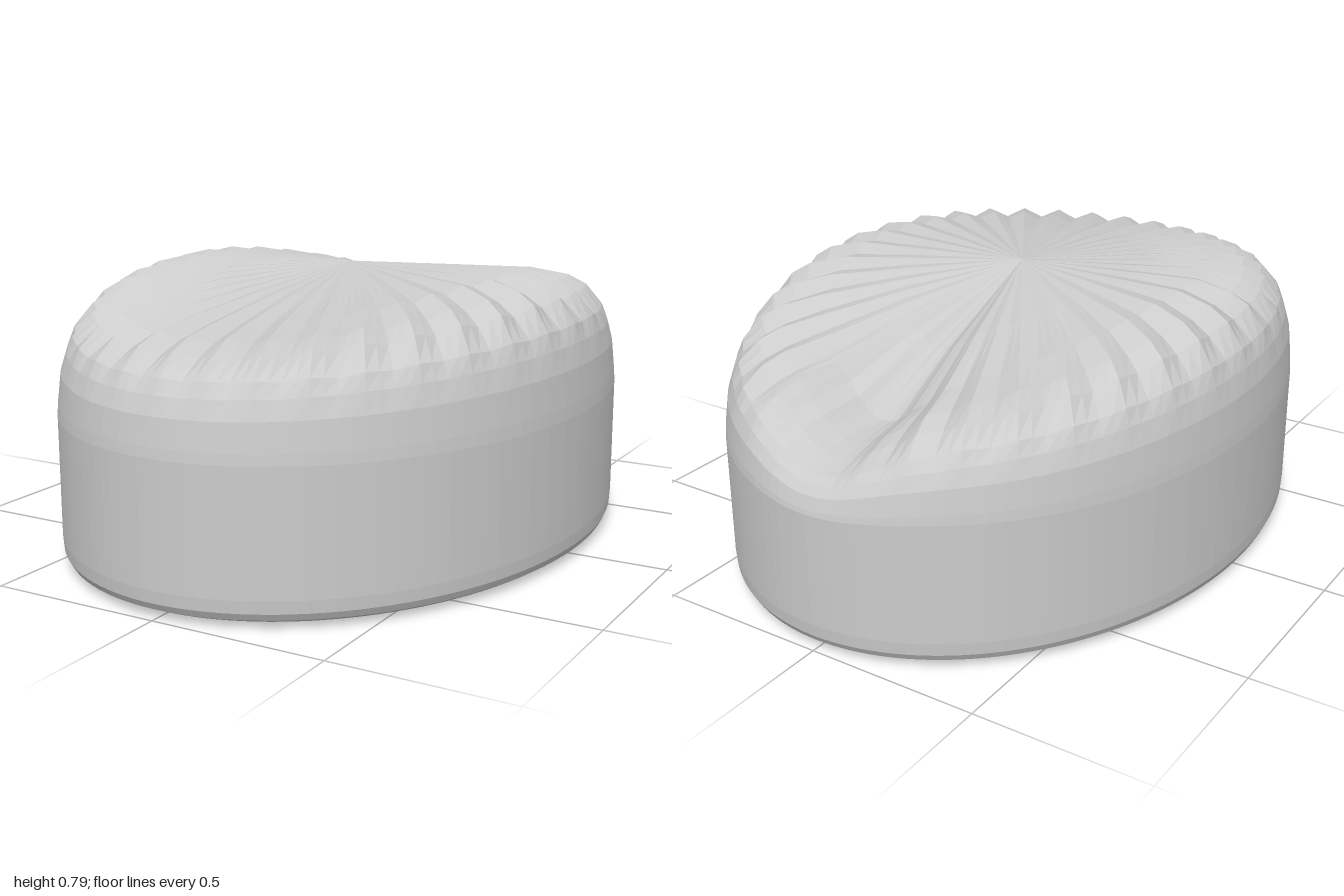
import * as THREE from 'three';

const SEGMENTS = 144;
const FLUTES = 36;
const HALF_WIDTH = 0.75;

// Underside and wall: [radius, height]
const lower = [[0, 0], [0.9, 0.005], [0.96, 0.013], [0.985, 0.025], [0.997, 0.045], [1, 0.08], [1, 0.24]];
// Rounded shoulder and crown: [radius, share of the rise, flute strength]
const upper = [
  [1, 0, 0], [0.997, 0.1, 0], [0.985, 0.36, 0], [0.965, 0.53, 0.1], [0.94, 0.66, 0.35],
  [0.87, 0.83, 0.9], [0.8, 0.92, 1], [0.67, 1, 0.7],
];

// Dip in the crown at the middle of the back
const notch = (a) => Math.exp(-(((a - 1.5 * Math.PI) / 0.28) ** 2));

// Height of the crown: high at the sides, lower at the front, lowest at the back
function crownHeight(a) {
  const s = Math.sin(a);
  return 0.78 - (s > 0 ? 0.075 : 0.13) * s * s - 0.12 * notch(a);
}

function createPuckGeometry() {
  const rings = [
    ...lower.map(([r, y]) => () => [r, y]),
    ...upper.map(([r, f, flute]) => (a) => {
      const wave = Math.cos(FLUTES * a) * flute * (1 - 0.8 * notch(a));
      const base = 0.42 - 0.02 * notch(a);
      return [r + 0.012 * wave, base + (crownHeight(a) - base) * f + 0.011 * wave];
    }),
    // Shallow fan rising to the centre
    (a) => [0.42, THREE.MathUtils.lerp(0.786, crownHeight(a), 0.55) + 0.003 * Math.cos(FLUTES * a)],
    () => [0, 0.786],
  ];

  const positions = [];
  const index = [];
  rings.forEach((ring) => {
    for (let j = 0; j < SEGMENTS; j++) {
      const a = (j / SEGMENTS) * Math.PI * 2;
      const [r, y] = ring(a);
      positions.push(HALF_WIDTH * r * Math.cos(a), y, r * Math.sin(a));
    }
  });
  for (let i = 0; i < rings.length - 1; i++) {
    for (let j = 0; j < SEGMENTS; j++) {
      const k = (j + 1) % SEGMENTS;
      const a = i * SEGMENTS + j, b = i * SEGMENTS + k;
      const c = a + SEGMENTS, d = b + SEGMENTS;
      if (i > 0) index.push(a, c, b);
      if (i < rings.length - 2) index.push(b, c, d);
      else continue;
    }
  }

  const geometry = new THREE.BufferGeometry();
  geometry.setAttribute('position', new THREE.Float32BufferAttribute(positions, 3));
  geometry.setIndex(index);
  geometry.computeVertexNormals();
  return geometry;
}

export function createModel() {
  const group = new THREE.Group();
  group.name = 'flutedOvalPuck';
  const body = new THREE.Mesh(
    createPuckGeometry(),
    new THREE.MeshStandardMaterial({ color: 0xcccccc, flatShading: true }),
  );
  body.name = 'body';
  group.add(body);
  return group;
}
